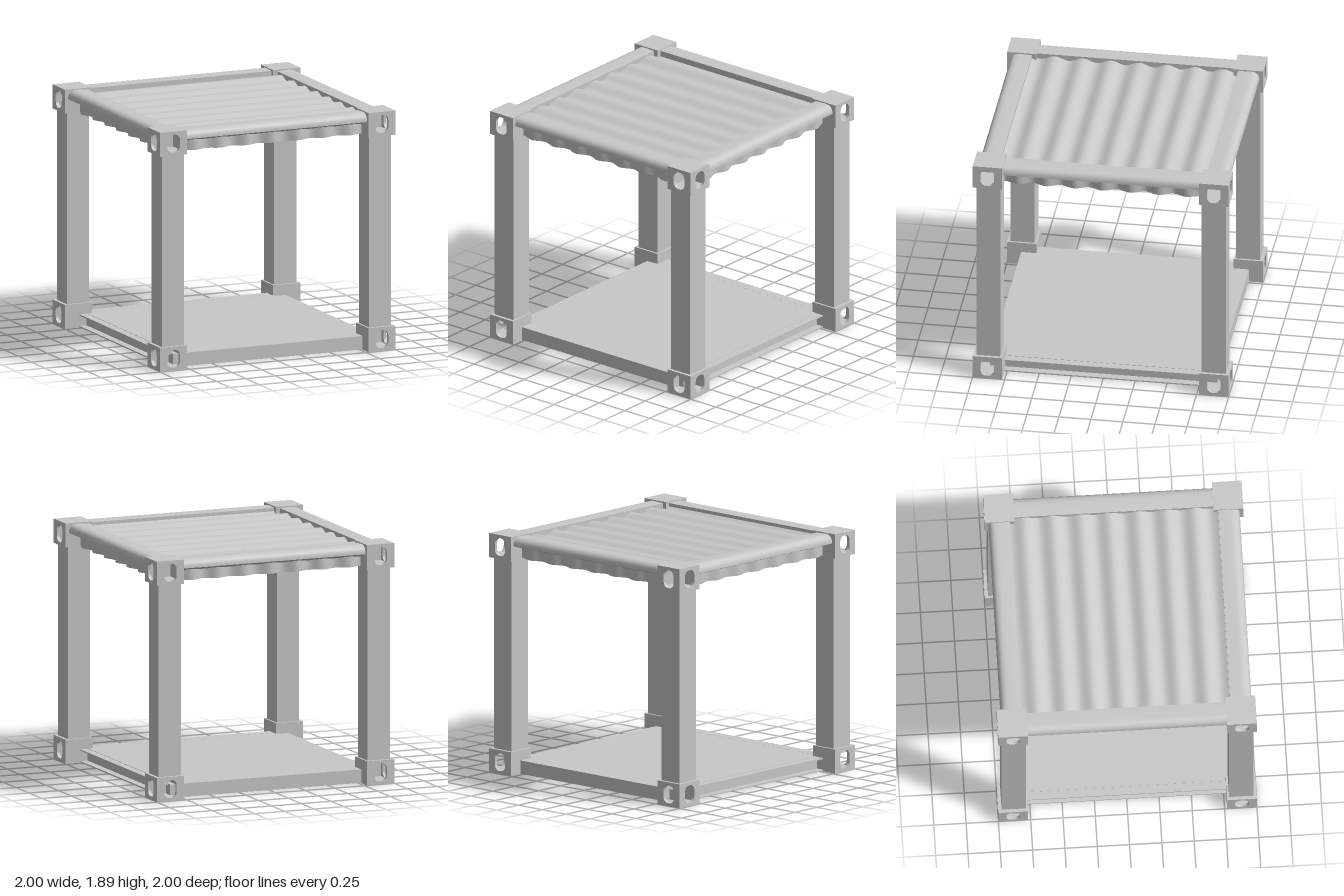
import * as THREE from 'three';
import { toCreasedNormals } from 'three/addons/utils/BufferGeometryUtils.js';

const steel = new THREE.MeshStandardMaterial({ color: 0xc8c8c8 });
steel.name = 'grey steel';

function mesh(name, geometry, parent, x = 0, y = 0, z = 0) {
  const m = new THREE.Mesh(geometry, steel);
  m.name = name;
  m.position.set(x, y, z);
  parent.add(m);
  return m;
}

const box = (w, h, d) => new THREE.BoxGeometry(w, h, d);

function extrude(shape, depth, crease = 0.6) {
  const g = new THREE.ExtrudeGeometry(shape, { depth, bevelEnabled: false, curveSegments: 8 });
  return toCreasedNormals(g.translate(0, 0, -depth / 2), crease);
}

// Corrugated sheet: waves along x in the xy plane, extruded along z
function corrugated(length, depth, amp, thick, shift = 0, period = 0.22) {
  const n = 84, top = [], bottom = [];
  for (let i = 0; i <= n; i++) {
    const x = -length / 2 + (length * i) / n;
    const y = amp * Math.cos(((x - shift) * 2 * Math.PI) / period);
    bottom.push(new THREE.Vector2(x, y - thick / 2));
    top.unshift(new THREE.Vector2(x, y + thick / 2));
  }
  return extrude(new THREE.Shape([...bottom, ...top]), depth);
}

// Plate of a corner fitting with a rounded slot
function slottedPlate(w, h, depth) {
  const s = new THREE.Shape([[-1, -1], [1, -1], [1, 1], [-1, 1]]
    .map(([x, y]) => new THREE.Vector2((x * w) / 2, (y * h) / 2)));
  const a = 0.053, b = 0.07, r = 0.045;
  const hole = new THREE.Path();
  hole.absarc(a - r, b - r, r, 0, Math.PI / 2);
  hole.absarc(r - a, b - r, r, Math.PI / 2, Math.PI);
  hole.absarc(r - a, r - b, r, Math.PI, 1.5 * Math.PI);
  hole.absarc(a - r, r - b, r, 1.5 * Math.PI, 2 * Math.PI);
  hole.closePath();
  s.holes.push(hole);
  return extrude(s, depth);
}

// Hollow corner fitting, slots facing +x and +z
function cornerFitting(y) {
  const g = new THREE.Group();
  g.name = 'cornerFitting';
  const W = 0.23, H = 0.19, t = 0.025, o = (W - t) / 2;
  mesh('frontSlotPlate', slottedPlate(W, H, t), g, 0, 0, o);
  mesh('sideSlotPlate', slottedPlate(W, H, t), g, o).rotation.y = Math.PI / 2;
  mesh('innerPlate', box(W, H, t), g, 0, 0, -o);
  mesh('innerSidePlate', box(t, H, W), g, -o);
  mesh('topPlate', box(W, t, W), g, 0, (H - t) / 2, 0);
  mesh('bottomPlate', box(W, t, W), g, 0, (t - H) / 2, 0);
  g.position.set(0.885, y, 0.885);
  return g;
}

// Rounded top rail with a sloping underside
function topRail() {
  const s = new THREE.Shape();
  s.moveTo(0.805, 1.79);
  s.lineTo(0.86, 1.775);
  s.lineTo(0.972, 1.812);
  s.quadraticCurveTo(0.972, 1.88, 0.9, 1.88);
  s.lineTo(0.805, 1.875);
  s.closePath();
  return extrude(s, 1.56, 0.5).rotateY(-Math.PI / 2);
}

export function createModel() {
  const model = new THREE.Group();
  model.name = 'openContainerFrame';

  // Four identical sides: post, fittings, top rail and corrugated skirt
  for (let i = 0; i < 4; i++) {
    const side = new THREE.Group();
    side.name = 'frameSide' + (i + 1);
    side.rotation.y = (i * Math.PI) / 2;
    model.add(side);
    mesh('cornerPost', box(0.188, 1.53, 0.188), side, 0.88, 0.945, 0.88);
    side.add(cornerFitting(0.095), cornerFitting(1.793));
    mesh('topRail', topRail(), side);
    mesh('corrugatedSkirt', corrugated(1.56, 0.1, 0.018, 0.02).rotateX(Math.PI / 2), side, 0, 1.755, 0.88);
  }

  // Corrugated roof and underfloor, ridges running left to right
  const roof = corrugated(1.61, 1.61, 0.016, 0.014, 0.03).rotateY(Math.PI / 2);
  mesh('roofSheet', roof, model, 0, 1.838, 0);
  const under = corrugated(1.6, 1.6, 0.014, 0.012, 0.03).rotateY(Math.PI / 2);
  mesh('underfloorSheet', under, model, 0, 0.034, 0);

  // Floor deck with front and back beams
  mesh('floorDeck', box(1.62, 0.025, 1.76), model, 0, 0.095, 0);
  for (const s of [1, -1]) {
    mesh('endBeam', box(1.68, 0.105, 0.08), model, 0, 0.0555, s * 0.85);
    // Recessed side channels
    mesh('channelWeb', box(0.02, 0.09, 1.7), model, s * 0.805, 0.054, 0);
    mesh('channelTopFlange', box(0.08, 0.01, 1.7), model, s * 0.835, 0.1, 0);
    mesh('channelBottomFlange', box(0.08, 0.01, 1.7), model, s * 0.835, 0.008, 0);
  }
  return model;
}
